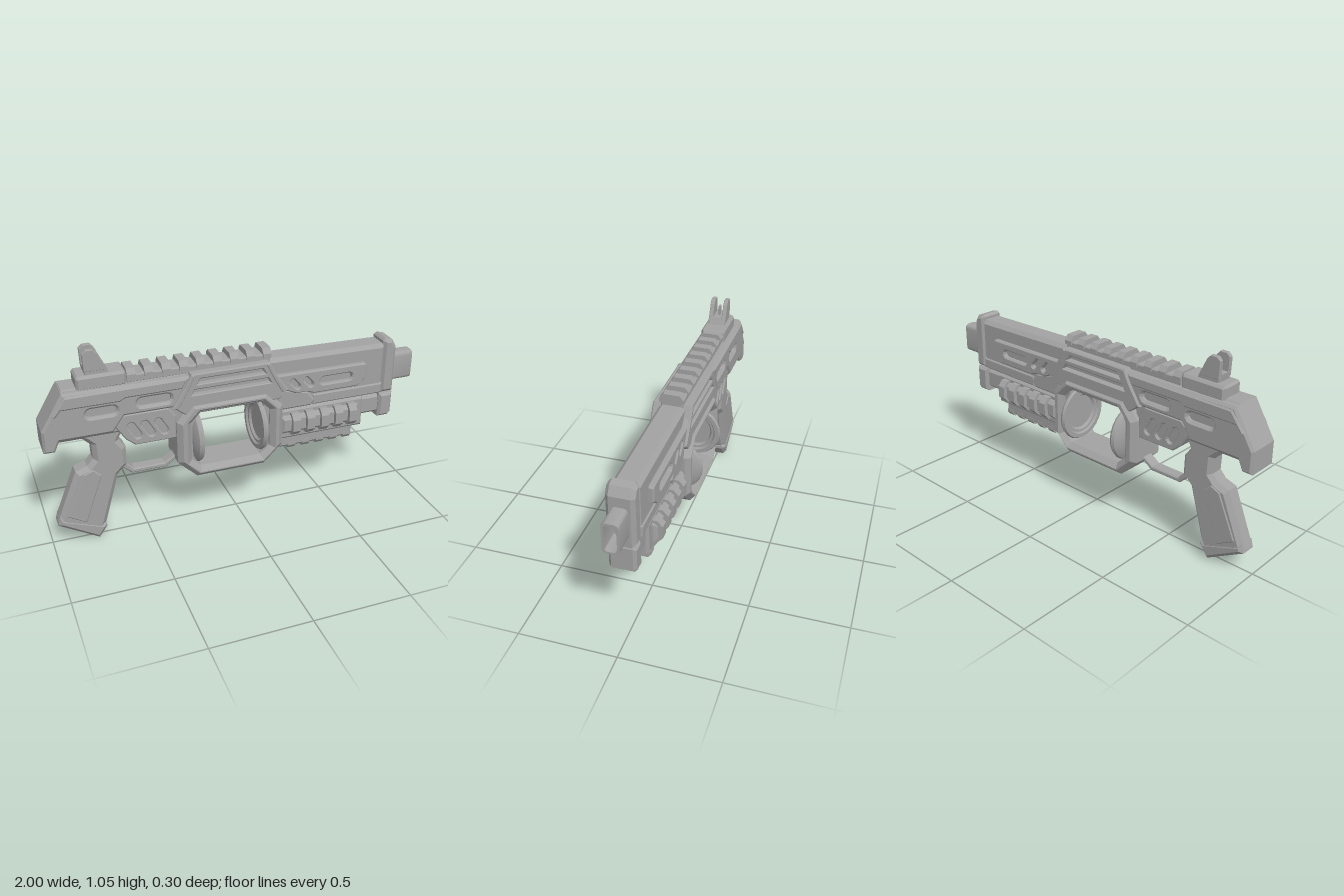
import * as THREE from 'three';
import { toCreasedNormals } from 'three/addons/utils/BufferGeometryUtils.js';

const gunmetal = new THREE.MeshStandardMaterial({ color: 0xa2a2a2 });
gunmetal.name = 'grey metal';

// Outline points, always counter-clockwise so that every wall faces outwards
function outline(pts) {
  const v = pts.map(([x, y]) => new THREE.Vector2(x, y));
  return THREE.ShapeUtils.isClockWise(v) ? v.reverse() : v;
}

const box = (x0, x1, y0, y1) => [[x0, y0], [x1, y0], [x1, y1], [x0, y1]];

// Rounded slot outline, tilted by an angle
function slot(cx, cy, length, width, angle = 0) {
  const r = width / 2, c = Math.cos(angle), s = Math.sin(angle), pts = [];
  for (let i = 0; i < 12; i++) {
    const end = i < 6 ? 1 : -1;
    const a = end * Math.PI / -2 + (i % 6) * Math.PI / 5;
    const x = end * (length / 2 - r) + r * Math.cos(a), y = r * Math.sin(a);
    pts.push([cx + x * c - y * s, cy + x * s + y * c]);
  }
  return pts;
}

// Rectangle with rounded corners, from half sizes
function roundedRect(w, h, r) {
  const pts = [];
  for (let i = 0; i < 20; i++) {
    const corner = Math.floor(i / 5), a = (corner + (i % 5) / 4) * Math.PI / 2;
    const sx = corner === 0 || corner === 3 ? 1 : -1, sy = corner < 2 ? 1 : -1;
    pts.push([sx * (w - r) + r * Math.cos(a), sy * (h - r) + r * Math.sin(a)]);
  }
  return pts;
}

export function createModel() {
  const model = new THREE.Group();
  model.name = 'blaster';

  function add(name, geometry) {
    const mesh = new THREE.Mesh(geometry, gunmetal);
    mesh.name = name;
    model.add(mesh);
    return mesh;
  }

  function makeShape(pts, holes) {
    const shape = new THREE.Shape(outline(pts));
    shape.holes = holes.map((h) => new THREE.Path(outline(h)));
    return shape;
  }

  // Side outline extruded to +-half with bevelled edges
  function plate(name, pts, half, bevel = 0.012, holes = [], z = 0) {
    const geometry = new THREE.ExtrudeGeometry(makeShape(pts, holes), {
      depth: 2 * (half - bevel), bevelEnabled: bevel > 0, bevelSize: bevel,
      bevelThickness: bevel, bevelOffset: -bevel, bevelSegments: 1,
    });
    geometry.translate(0, 0, z - half + bevel);
    return add(name, geometry);
  }

  // Cross-section in z and y, extruded along x
  function along(name, pts, x0, x1, holes = []) {
    const geometry = new THREE.ExtrudeGeometry(makeShape(pts, holes), { depth: x1 - x0, bevelEnabled: false });
    geometry.rotateY(Math.PI / 2).translate(x0, 0, 0);
    return add(name, toCreasedNormals(geometry, 0.5));
  }

  // Body core and armour shells
  plate('bodyCore', [[-0.99, 0.575], [-0.945, 0.575], [-0.92, 0.595], [-0.61, 0.595], [-0.555, 0.53], [-0.3, 0.53],
    [-0.3, 0.66], [0.2, 0.66], [0.2, 0.595], [0.82, 0.595], [0.82, 0.855], [0.15, 0.867], [-0.885, 0.867], [-0.99, 0.68]], 0.065, 0.02);
  plate('rearShell', [[-1, 0.565], [-0.945, 0.565], [-0.92, 0.62], [-0.66, 0.62], [-0.6, 0.7], [-0.35, 0.7],
    [-0.29, 0.78], [-0.265, 0.855], [-0.89, 0.862], [-1, 0.68]], 0.088, 0.012,
  [slot(-0.71, 0.74, 0.15, 0.045), slot(-0.45, 0.757, 0.17, 0.045)]);
  plate('rearUpperRidge', [[-0.95, 0.75], [-0.88, 0.85], [-0.28, 0.85], [-0.31, 0.795], [-0.59, 0.795],
    [-0.62, 0.78], [-0.9, 0.78], [-0.925, 0.75]], 0.096, 0.01);
  plate('middleShell', [[-0.265, 0.867], [0.145, 0.867], [0.18, 0.8], [0.25, 0.7], [0.2, 0.655], [-0.3, 0.655],
    [-0.36, 0.7], [-0.305, 0.79]], 0.097, 0.006, [
    [[-0.235, 0.81], [0.125, 0.81], [0.108, 0.838], [-0.218, 0.838]],
    [[-0.265, 0.755], [0.155, 0.755], [0.138, 0.783], [-0.248, 0.783]]]);
  for (const [name, x, s] of [['rearDiagonalRib', -0.265, -1], ['frontDiagonalRib', 0.145, 1]]) {
    plate(name, [[x, 0.867], [x + s * 0.035, 0.8], [x + s * 0.1, 0.7], [x + s * 0.07, 0.69],
      [x + s * 0.012, 0.79], [x - s * 0.02, 0.86]], 0.101, 0.006);
  }
  plate('ventPanel', [[-0.655, 0.65], [-0.6, 0.7], [-0.38, 0.7], [-0.345, 0.65], [-0.345, 0.527], [-0.555, 0.527],
    [-0.6, 0.565]], 0.079, 0.006, [-0.555, -0.487, -0.419].map((x) => slot(x, 0.607, 0.1, 0.036, -1.05)));
  plate('frontShell', [[0.15, 0.84], [0.2, 0.782], [0.69, 0.775], [0.7, 0.765], [0.7, 0.69], [0.65, 0.65], [0.4, 0.65],
    [0.36, 0.665], [0.3, 0.665], [0.22, 0.7], [0.14, 0.8]], 0.09, 0.007,
  [slot(0.292, 0.72, 0.068, 0.026, -0.85), slot(0.366, 0.72, 0.068, 0.026, -0.85), slot(0.525, 0.714, 0.185, 0.043)]);
  plate('frontLowerShell', [[0.2, 0.7], [0.3, 0.675], [0.37, 0.66], [0.415, 0.605], [0.39, 0.575], [0.2, 0.575]], 0.078, 0.01);
  plate('frontSideRib', box(0.4, 0.81, 0.575, 0.635), 0.072, 0.008);

  // Octagonal ring with its inner side walls
  plate('ringFrame', [[-0.345, 0.615], [-0.265, 0.71], [0.13, 0.71], [0.225, 0.615], [0.225, 0.385], [0.125, 0.287],
    [-0.245, 0.287], [-0.345, 0.385]], 0.11, 0.026, [[[-0.27, 0.6], [-0.22, 0.65], [0.105, 0.65], [0.155, 0.6],
    [0.155, 0.39], [0.105, 0.345], [-0.22, 0.345], [-0.27, 0.39]]]);
  plate('ringRearWall', box(-0.3, -0.24, 0.345, 0.65), 0.075, 0);
  plate('ringFrontWall', box(0.123, 0.18, 0.345, 0.65), 0.075, 0);

  // Dished discs facing each other inside the ring
  const profile = [[0, 0.022], [0.09, 0.022], [0.1, 0.01], [0.112, 0.01], [0.12, 0], [0.142, 0], [0.148, 0.012],
    [0.142, 0.026], [0.115, 0.042], [0, 0.05]].map(([r, y]) => new THREE.Vector2(r, y));
  const dish = toCreasedNormals(new THREE.LatheGeometry(profile, 24), 0.5);
  for (const [name, x, side] of [['rearDisc', -0.217, 1], ['frontDisc', 0.1, -1]]) {
    const disc = add(name, dish);
    disc.position.set(x, 0.492, 0);
    disc.rotation.z = side * Math.PI / 2;
  }

  // Grip and trigger guard
  plate('grip', [[-0.83, 0.62], [-0.815, 0.595], [-0.765, 0.545], [-0.762, 0.465], [-0.795, 0.43], [-0.855, 0.41],
    [-0.965, 0.14], [-0.757, 0.015], [-0.72, 0.095], [-0.645, 0.355], [-0.595, 0.405], [-0.597, 0.505], [-0.63, 0.55],
    [-0.6, 0.62]], 0.052, 0.022);
  plate('gripPanel', [[-0.82, 0.395], [-0.77, 0.415], [-0.73, 0.375], [-0.825, 0.115], [-0.92, 0.17]], 0.057, 0.005);
  plate('gripBase', [[-0.955, 0.165], [-0.968, 0.12], [-0.765, 0], [-0.722, 0.06], [-0.722, 0.078]], 0.055, 0.018);
  plate('triggerGuard', [[-0.635, 0.4], [-0.57, 0.34], [-0.39, 0.34], [-0.33, 0.385], [-0.33, 0.41], [-0.4, 0.365],
    [-0.56, 0.365], [-0.6, 0.41]], 0.03, 0.006);

  // Top rail
  plate('topRail', box(-0.575, 0.165, 0.855, 0.897), 0.055, 0.006);
  for (let i = 0; i < 9; i++) {
    const x = -0.55 + i * 0.0868;
    along('topRailTooth', [[-0.062, 0.88], [0.062, 0.88], [0.062, 0.9], [0.042, 0.926], [-0.042, 0.926], [-0.062, 0.9]],
      x - 0.022, x + 0.022);
  }

  // Rear sight: base, two prongs and a thin pin
  plate('sightBase', [[-0.815, 0.85], [-0.575, 0.85], [-0.575, 0.915], [-0.585, 0.925], [-0.805, 0.925], [-0.815, 0.915]], 0.065, 0.012);
  plate('sightFoot', [[-0.765, 0.91], [-0.645, 0.91], [-0.67, 0.96], [-0.77, 0.96]], 0.045, 0.004);
  for (const side of [-1, 1]) {
    plate('sightProng', [[-0.77, 0.94], [-0.66, 0.94], [-0.7, 1.025], [-0.72, 1.047], [-0.755, 1.047], [-0.773, 1.03]],
      0.011, 0.003, [], side * 0.036);
  }
  plate('sightPin', box(-0.74, -0.71, 0.95, 1.01), 0.005, 0);

  // Underbarrel block with side and bottom rails
  plate('underBlock', box(0.2, 0.71, 0.39, 0.568), 0.062, 0.015);
  plate('underTube', box(0.69, 0.82, 0.447, 0.555), 0.048, 0.015);
  plate('sideRails', box(0.22, 0.67, 0.435, 0.535), 0.09, 0.018);
  plate('bottomRail', box(0.23, 0.655, 0.338, 0.405), 0.05, 0.01);
  for (let i = 0; i < 5; i++) {
    const x = 0.3 + i * 0.082;
    along('sideRailTooth', [[-0.112, 0.455], [-0.085, 0.425], [0.085, 0.425], [0.112, 0.455], [0.112, 0.518],
      [0.085, 0.548], [-0.085, 0.548], [-0.112, 0.518]], x - 0.022, x + 0.022);
    along('bottomRailTooth', [[-0.052, 0.36], [-0.052, 0.342], [-0.036, 0.322], [0.036, 0.322], [0.052, 0.342], [0.052, 0.36]],
      x - 0.022, x + 0.022);
  }

  // Muzzle blocks and hollow barrel
  plate('muzzleBlock', [[0.805, 0.57], [0.885, 0.57], [0.885, 0.83], [0.86, 0.872], [0.82, 0.882], [0.805, 0.87]], 0.068, 0.018);
  plate('muzzleLowerBlock', [[0.805, 0.425], [0.87, 0.425], [0.885, 0.44], [0.885, 0.562], [0.805, 0.562]], 0.066, 0.014);
  const barrel = along('barrel', roundedRect(0.04, 0.08, 0.022), 0.87, 1, [roundedRect(0.029, 0.069, 0.014)]);
  barrel.position.y = 0.7;

  return model;
}
